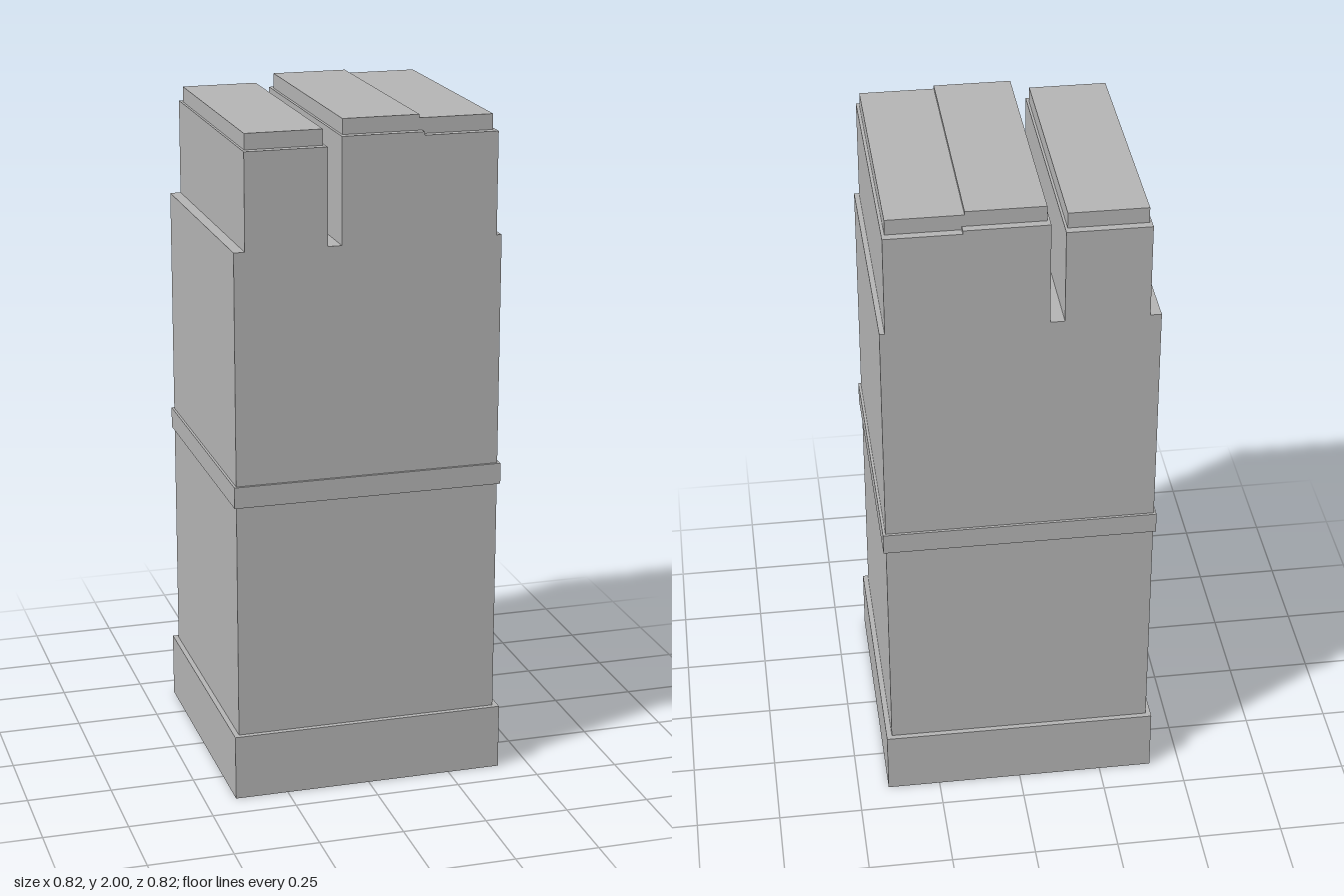
import * as THREE from 'three';

export function createModel() {
  const model = new THREE.Group();
  model.name = 'tower';
  const stone = new THREE.MeshStandardMaterial({ color: 0xb3b3b3 });
  stone.name = 'grey stone';

  // Box given by its x and y ranges and its half depth
  function block(name, x0, x1, y0, y1, halfDepth) {
    const mesh = new THREE.Mesh(new THREE.BoxGeometry(x1 - x0, y1 - y0, halfDepth * 2), stone);
    mesh.position.set((x0 + x1) / 2, (y0 + y1) / 2, 0);
    mesh.name = name;
    model.add(mesh);
  }

  block('base', -0.408, 0.408, 0, 0.195, 0.408);
  block('beltCourse', -0.4, 0.4, 0.9, 0.963, 0.4);

  // Shaft with narrowed crown, split by a deep slot
  const depth = 0.784;
  const outline = [
    [-0.393, 0.195], [0.392, 0.195], [0.392, 1.646], [0.377, 1.646],
    [0.377, 1.945], [0.159, 1.945], [0.159, 1.955], [-0.081, 1.955],
    [-0.081, 1.646], [-0.122, 1.646], [-0.122, 1.928], [-0.361, 1.928],
    [-0.361, 1.646], [-0.393, 1.646],
  ].map(([x, y]) => new THREE.Vector2(x, y));
  const shaftGeometry = new THREE.ExtrudeGeometry(new THREE.Shape(outline), { depth, bevelEnabled: false });
  shaftGeometry.translate(0, 0, -depth / 2);
  const shaft = new THREE.Mesh(shaftGeometry, stone);
  shaft.name = 'shaft';
  model.add(shaft);

  // Inset roof slabs
  block('rightRoof', -0.354, -0.129, 1.928, 1.974, 0.368);
  block('middleRoof', -0.073, 0.151, 1.955, 2, 0.368);
  block('leftRoof', 0.151, 0.368, 1.945, 1.99, 0.368);

  return model;
}
